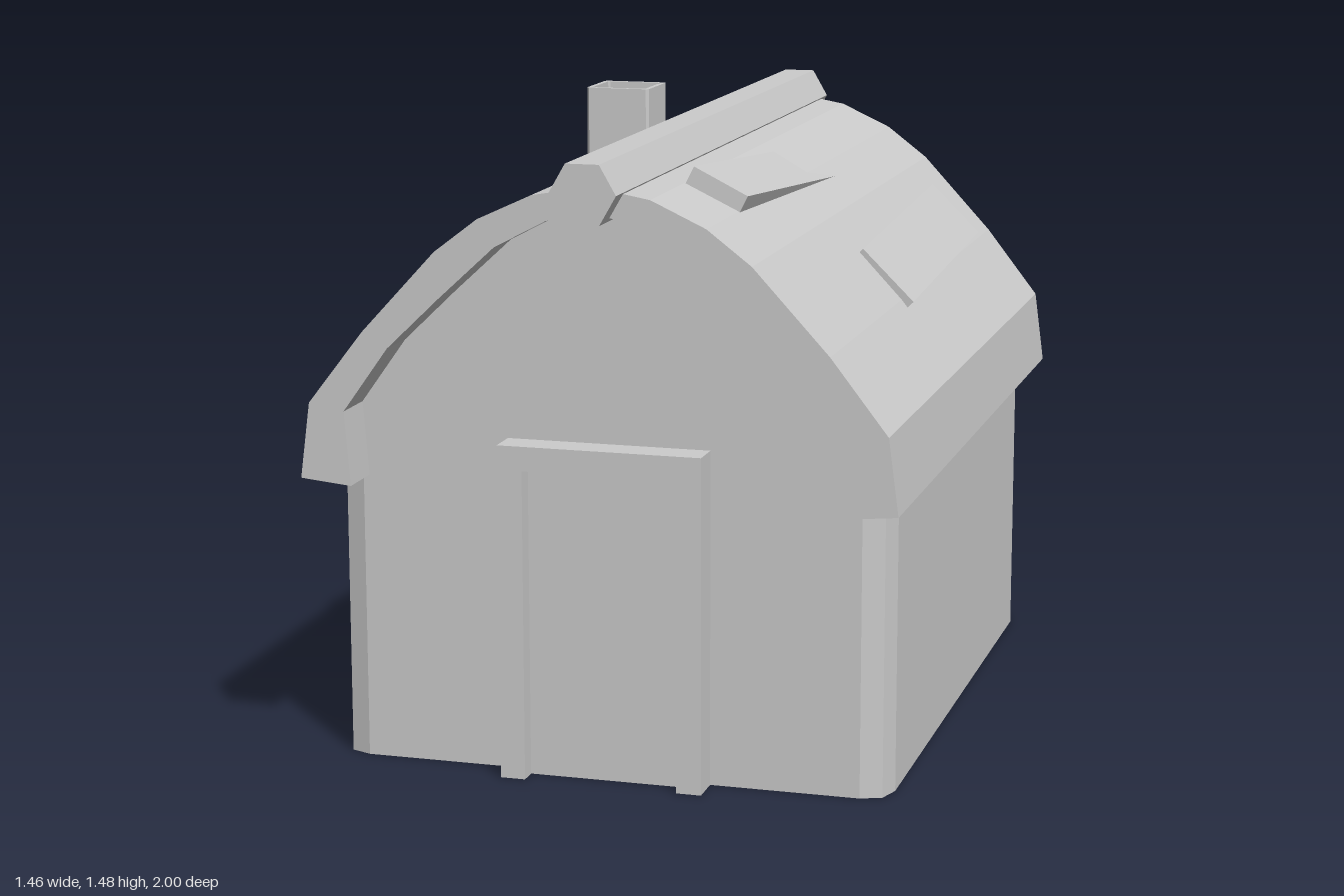
import * as THREE from 'three';

const CX = 0.0135; // centre line of the building
const V = (x, y, z) => new THREE.Vector3(x, y, z);

export function createModel() {
  const house = new THREE.Group();
  house.name = 'cottage';
  const mat = new THREE.MeshStandardMaterial({ color: 0xcccccc, flatShading: true });
  const thin = new THREE.MeshStandardMaterial({ color: 0xcccccc, flatShading: true, side: THREE.DoubleSide });

  const add = (name, geo, x = 0, y = 0, z = 0, material = mat, parent = house) => {
    const mesh = new THREE.Mesh(geo, material);
    mesh.name = name;
    mesh.position.set(x, y, z);
    parent.add(mesh);
    return mesh;
  };
  const shape = pts => new THREE.Shape(pts.map(p => new THREE.Vector2(...p)));
  const rect = (x0, y0, x1, y1) => [[x0, y0], [x1, y0], [x1, y1], [x0, y1]];
  const holed = (outer, ...holes) => {
    const s = shape(outer);
    s.holes = holes.map(h => shape(h));
    return s;
  };
  const extrude = (s, depth) => new THREE.ExtrudeGeometry(s, { depth, bevelEnabled: false });
  const mirror = half => half.concat(half.slice(0, -1).reverse().map(([x, y]) => [-x, y]));

  // Curved roof shell: half profiles run from the eave to the ridge
  const outer = [[0.714, 0.705], [0.69, 0.886], [0.555, 1.06], [0.375, 1.255], [0.27, 1.335], [0.14, 1.395], [0, 1.42]];
  const inner = [[0.59, 0.693], [0.604, 0.87], [0.494, 1.024], [0.367, 1.146], [0.23, 1.272], [0.105, 1.338], [0, 1.36]];
  add('roof', extrude(shape([...mirror(outer), ...mirror(inner).reverse()]), 1.88), CX, 0, -0.94);

  // Hexagonal ridge beam
  const ridge = new THREE.CylinderGeometry(0.079, 0.079, 2, 6);
  ridge.rotateY(Math.PI / 2).rotateX(Math.PI / 2);
  add('ridgeBeam', ridge, CX, 1.41, 0);

  // Gable walls, the front one open behind the door
  const gable = [[0.605, 0], [0.605, 0.7], ...inner.slice(1)];
  const doorHole = rect(-0.17 - CX, 0.001, 0.2 - CX, 0.745);
  add('frontWall', new THREE.ShapeGeometry(holed(mirror(gable), doorHole)), CX, 0, 0.82, thin);
  add('backWall', new THREE.ShapeGeometry(shape(mirror(gable))).rotateY(Math.PI), CX, 0, -0.82, thin);

  // Side walls; the right one has two window holes
  const windowZ = [-0.355, 0.325], windowY = 0.435;
  const side = rect(-0.745, 0, 0.745, 0.75);
  const holes = windowZ.map(z => rect(z - 0.15, windowY - 0.15, z + 0.15, windowY + 0.15));
  add('leftWall', new THREE.ShapeGeometry(shape(side)).rotateY(Math.PI / 2), CX + 0.673, 0, 0, thin);
  add('rightWall', new THREE.ShapeGeometry(holed(side, ...holes)).rotateY(-Math.PI / 2), CX - 0.673, 0, 0, thin);

  // Bevelled wall corners, two facets each
  const bevel = [[0.605, 0.82], [0.655, 0.8], [0.673, 0.745]];
  for (const sx of [1, -1]) for (const sz of [1, -1]) {
    for (let i = 0; i < 2; i++) {
      const a = V(sx * bevel[i][0], 0, sz * bevel[i][1]);
      const b = V(sx * bevel[i + 1][0], 0, sz * bevel[i + 1][1]);
      if (sx * sz < 0) { const t = a.clone(); a.copy(b); b.copy(t); }
      const d = b.clone().sub(a);
      const strip = add('wallCorner', new THREE.PlaneGeometry(d.length(), 0.75),
        CX + (a.x + b.x) / 2, 0.375, (a.z + b.z) / 2, thin);
      strip.rotation.y = Math.atan2(-d.z, d.x);
    }
  }

  // Door frame and recessed door
  const frame = [[-0.23, 0], [-0.17, 0], [-0.17, 0.745], [0.2, 0.745], [0.2, 0], [0.26, 0], [0.26, 0.803], [-0.23, 0.803]];
  add('doorFrame', extrude(shape(frame), 0.08), 0, 0, 0.82);
  add('door', new THREE.BoxGeometry(0.37, 0.745, 0.01), 0.015, 0.3725, 0.85);

  // Windows: raised frame, sleeve through the wall, recessed pane
  const ring = (o, i, depth) => extrude(holed(rect(-o, -o, o, o), rect(-i, -i, i, i)), depth);
  for (const z of windowZ) {
    const win = new THREE.Group();
    win.name = 'window';
    win.position.set(CX - 0.673, windowY, z);
    win.rotation.y = -Math.PI / 2;
    add('windowFrame', ring(0.185, 0.148, 0.022), 0, 0, 0, mat, win);
    add('windowSleeve', ring(0.155, 0.148, 0.045), 0, 0, -0.045, mat, win);
    add('windowPane', new THREE.BoxGeometry(0.3, 0.3, 0.008), 0, 0, -0.04, mat, win);
    house.add(win);
  }

  // Chimney with slightly cut corners and a sunken top
  const plan = (h, c) => [[h, -h + c], [h, h - c], [h - c, h], [-h + c, h], [-h, h - c], [-h, -h + c], [-h + c, -h], [h - c, -h]];
  const chimney = new THREE.Group();
  chimney.name = 'chimney';
  chimney.position.set(-0.378, 0, -0.625);
  const up = g => g.rotateX(-Math.PI / 2);
  add('chimneyStack', up(extrude(shape(plan(0.087, 0.007)), 0.375)), 0, 1.06, 0, mat, chimney);
  add('chimneyRim', up(extrude(holed(plan(0.087, 0.007), plan(0.074, 0.005)), 0.03)), 0, 1.435, 0, mat, chimney);
  house.add(chimney);

  // Loose shingles: top-centre points of the front and back ends, width, downhill direction
  const shingles = [
    [V(0.24, 1.402, 0.66), V(0.255, 1.335, -0.2), 0.145, V(0.129, -0.063, 0)],
    [V(0.535, 1.119, 0.195), V(0.527, 1.157, -0.675), 0.178, V(0.125, -0.126, 0)],
    [V(-0.18, 1.305, 0.7), V(-0.22, 1.388, -0.165), 0.152, V(0.14, 0.057, 0)],
    [V(-0.531, 1.137, 0.285), V(-0.475, 1.085, -0.5), 0.152, V(0.102, 0.113, 0)],
    [V(-0.723, 0.797, -0.2), V(-0.667, 0.79, -0.6), 0.155, V(0.023, 0.154, 0)],
  ];
  for (const [front, back, width, slope] of shingles) {
    const along = front.clone().sub(back);
    const length = along.length();
    along.normalize();
    const normal = along.clone().cross(slope).normalize();
    const across = normal.clone().cross(along);
    const geo = new THREE.BoxGeometry(width, 0.045, length).translate(0, -0.0225, 0);
    geo.applyMatrix4(new THREE.Matrix4().makeBasis(across, normal, along));
    const mid = front.clone().add(back).multiplyScalar(0.5);
    add('shingle', geo, mid.x, mid.y, mid.z);
  }

  return house;
}
